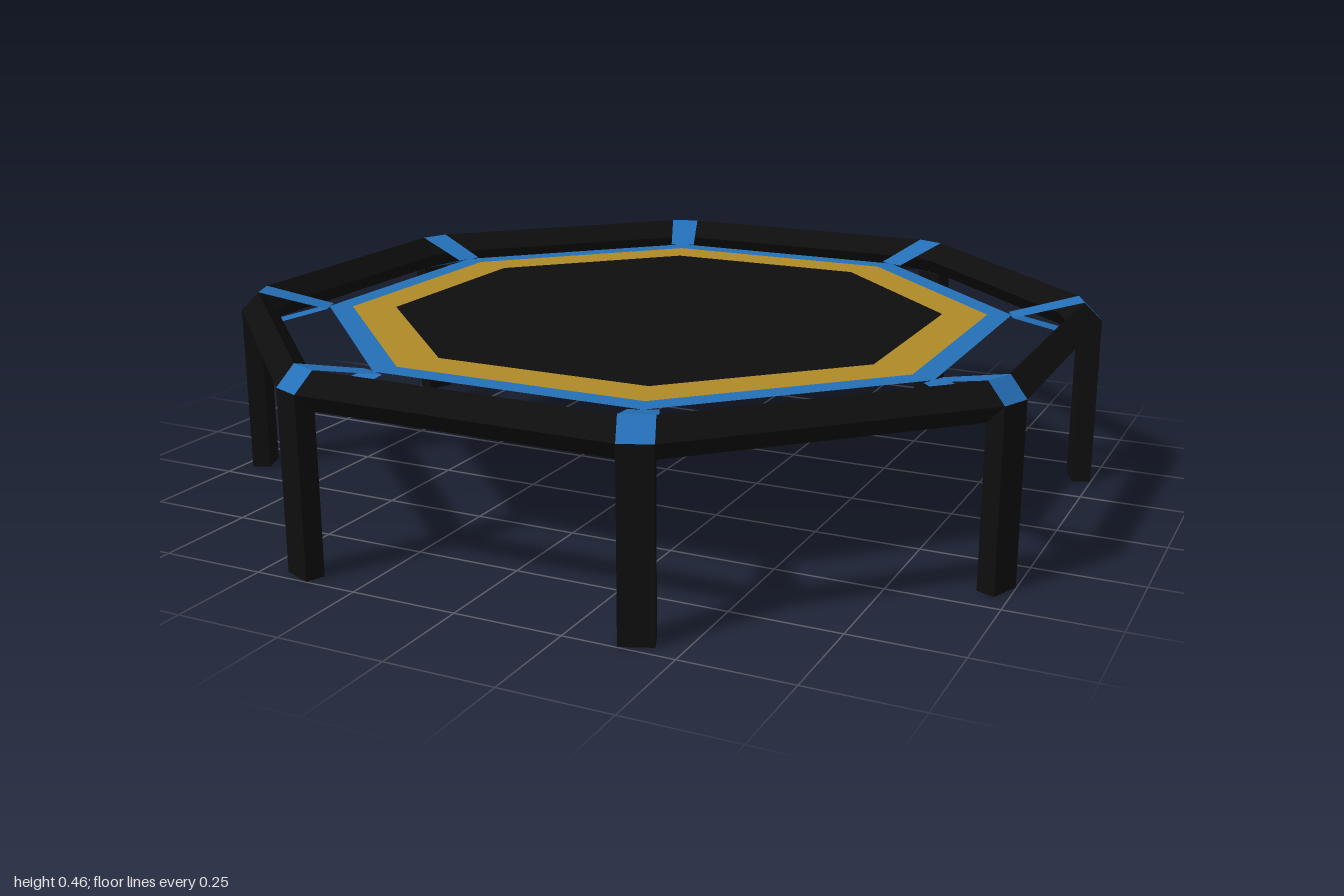
import * as THREE from 'three';

const SIDES = 8;
const HALF = 0.0375; // half width of the corner joints
const MAT_Y = 0.418;

// Diamond rim section as [radius along a corner, height]: outer, top, inner, bottom
const SECTION = [[1.065, 0.415], [1.02, 0.46], [0.975, 0.415], [1.02, 0.37]];

export function createModel() {
  const group = new THREE.Group();
  const material = (name, color) =>
    Object.assign(new THREE.MeshStandardMaterial({ color, side: THREE.DoubleSide }), { name });
  const black = material('black', 0x0e0e0e);
  const blue = material('blue', 0x2470b8);
  const gold = material('gold', 0xb08a26);

  const add = (name, geometry, mat, parent = group) => {
    const mesh = new THREE.Mesh(geometry, mat);
    mesh.name = name;
    parent.add(mesh);
    return mesh;
  };

  const angle = (k) => ((k + 0.5) * 2 * Math.PI) / SIDES;

  // Point near corner k: radius r, sideways offset t, height y
  const point = (k, r, t, y) => {
    const c = Math.cos(angle(k)), s = Math.sin(angle(k));
    return [r * c - t * s, y, r * s + t * c];
  };

  // Flat-shaded geometry from a list of four-cornered faces
  const quads = (faces) => {
    const pos = faces.flatMap(([a, b, c, d]) => [...a, ...b, ...c, ...a, ...c, ...d]);
    const geometry = new THREE.BufferGeometry();
    geometry.setAttribute('position', new THREE.Float32BufferAttribute(pos, 3));
    geometry.computeVertexNormals();
    return geometry;
  };

  // Strip across corner k between two [radius, height, half width] lines
  const strip = (k, [r0, y0, h0 = HALF], [r1, y1, h1 = HALF]) => [
    point(k, r0, -h0, y0), point(k, r1, -h1, y1), point(k, r1, h1, y1), point(k, r0, h0, y0),
  ];

  const [outer, top, inner, bottom] = SECTION;
  const matEdge = [0.85, MAT_Y, 0.033];

  for (let k = 0; k < SIDES; k++) {
    // Straight rim bar from this corner to the next
    add('rimBar', quads(SECTION.map(([r, y], i) => {
      const [r2, y2] = SECTION[(i + 1) % 4];
      return [point(k, r, HALF, y), point(k, r2, HALF, y2),
        point(k + 1, r2, -HALF, y2), point(k + 1, r, -HALF, y)];
    })), black);

    // Rim joint under the tie
    add('rimJoint', quads([
      strip(k, top, inner), strip(k, inner, bottom), strip(k, bottom, outer),
    ]), black);

    // Tie wrapping over the rim and meeting the mat from above and below
    add('cornerTie', quads([
      strip(k, outer, top), strip(k, top, matEdge), strip(k, matEdge, bottom),
    ]), blue);

    // Leg under the outer half of the joint
    const leg = add('leg', new THREE.BoxGeometry(0.045, 0.413, HALF * 2), black);
    leg.position.set(...point(k, 1.0425, 0, 0.2065));
    leg.rotation.y = -angle(k);
  }

  // Octagonal mat in three flat bands, given by their apothems
  const band = (name, innerA, outerA, mat) => {
    const scale = 1 / Math.cos(Math.PI / SIDES);
    const geometry = innerA
      ? new THREE.RingGeometry(innerA * scale, outerA * scale, SIDES, 1, angle(0))
      : new THREE.CircleGeometry(outerA * scale, SIDES, angle(0));
    geometry.rotateX(-Math.PI / 2);
    add(name, geometry, mat).position.y = MAT_Y;
  };
  band('matCentre', 0, 0.63, black);
  band('matBorder', 0.63, 0.732, gold);
  band('matEdging', 0.732, 0.787, blue);

  return group;
}
